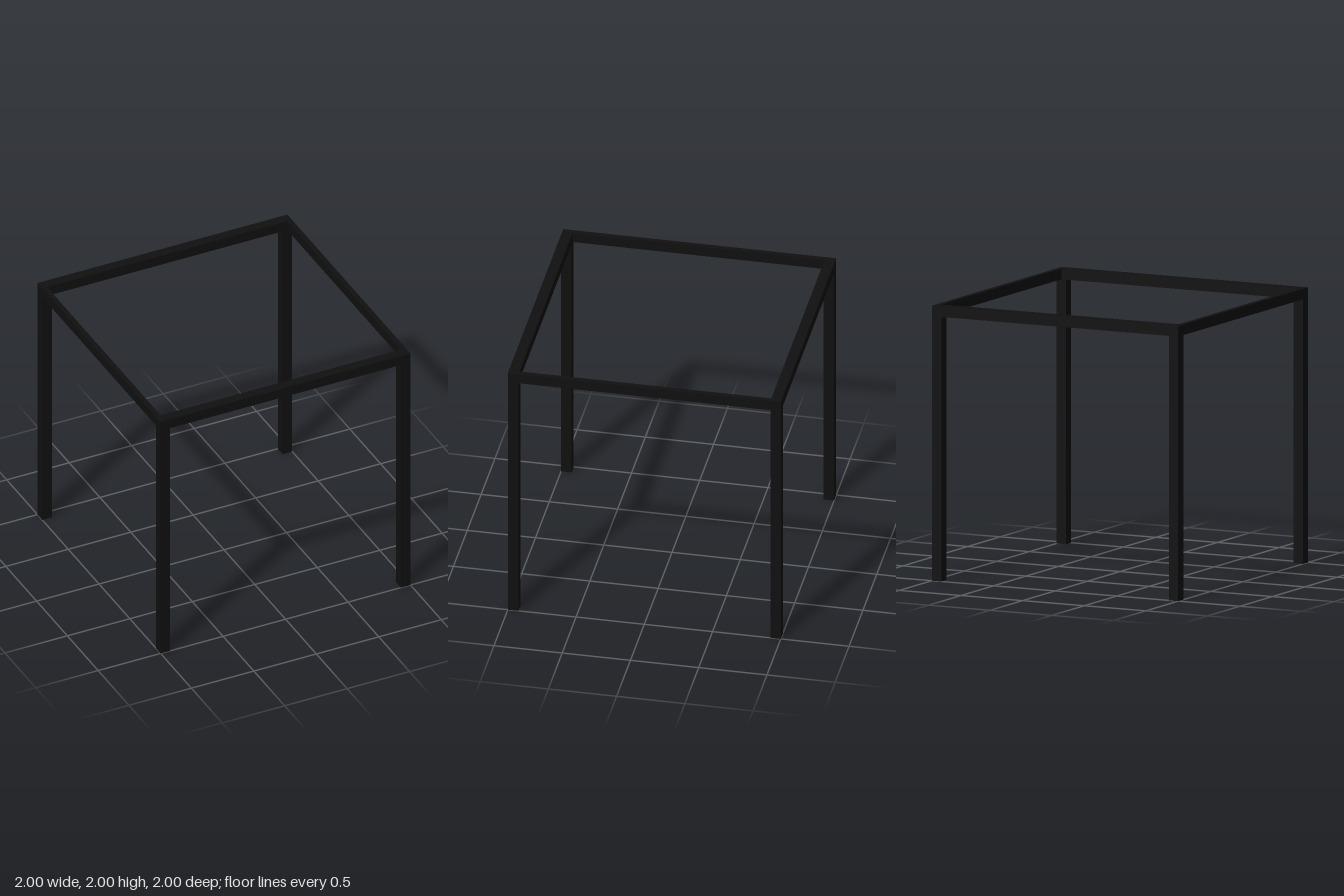
import * as THREE from 'three';

export function createModel() {
  const model = new THREE.Group();
  model.name = 'tableFrame';
  const black = new THREE.MeshStandardMaterial({ color: 0x101010 });

  const bar = 0.077;       // square bar of the legs and long rails
  const thin = 0.038;      // thickness of the side rails
  const edge = 1 - bar / 2;

  const addBar = (name, w, h, d, x, y, z) => {
    const mesh = new THREE.Mesh(new THREE.BoxGeometry(w, h, d), black);
    mesh.name = name;
    mesh.position.set(x, y, z);
    model.add(mesh);
  };

  for (const s of [-1, 1]) {
    const side = s > 0 ? 'left' : 'right';
    // legs stand under the ends of the front and back rails
    for (const f of [-1, 1]) {
      const end = f > 0 ? 'Front' : 'Back';
      addBar(`${side}${end}Leg`, bar, 2 - bar, bar, s * edge, 1 - bar / 2, f * edge);
    }
    // full-width rail at front or back
    addBar(s > 0 ? 'frontRail' : 'backRail', 2, bar, bar, 0, 2 - bar / 2, s * edge);
    // thinner side rail, flush with the outside
    addBar(`${side}Rail`, thin, bar, 2 - 2 * bar, s * (1 - thin / 2), 2 - bar / 2, 0);
  }
  return model;
}
